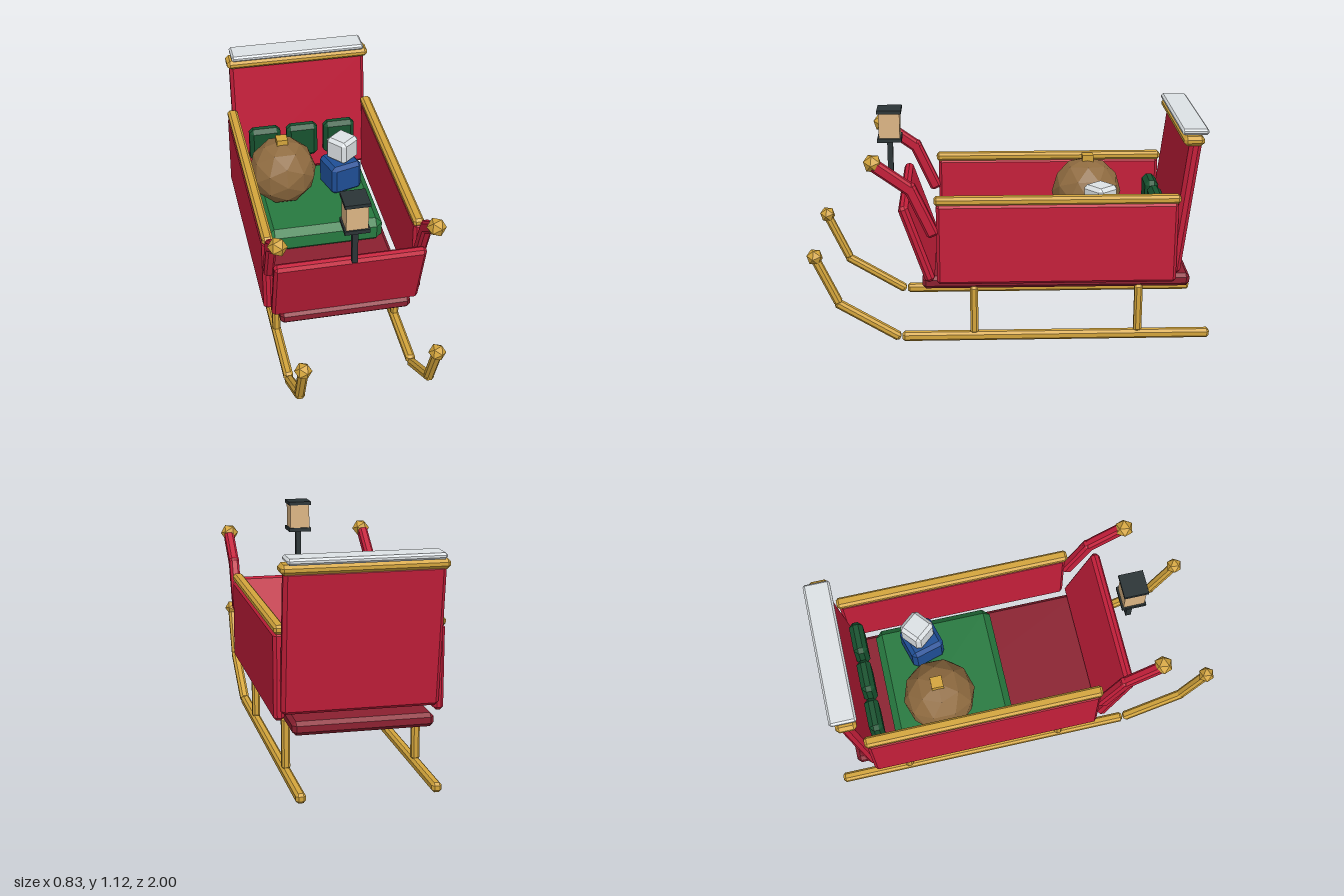
import * as THREE from 'three';
import { ConvexGeometry } from 'three/addons/geometries/ConvexGeometry.js';

const mat = (name, color) => {
  const m = new THREE.MeshStandardMaterial({ color, flatShading: true });
  m.name = name;
  return m;
};

export function createModel() {
  const group = new THREE.Group();
  group.name = 'sleigh';
  const red = mat('red paint', 0xc41e3a), darkRed = mat('dark red floor', 0x8b2030);
  const gold = mat('gold trim', 0xd4a53c), snow = mat('snow white', 0xdde2e5);
  const brown = mat('sack brown', 0x8f6b40), green = mat('blanket green', 0x277a40);
  const darkGreen = mat('cushion green', 0x17522f), blue = mat('gift blue', 0x1f4f96);
  const iron = mat('lantern iron', 0x2b3436), glow = mat('lantern glass', 0xdcb584);

  const add = (name, geometry, material, x, y, z, rx = 0, ry = 0) => {
    const mesh = new THREE.Mesh(geometry, material);
    mesh.name = name;
    mesh.position.set(x, y, z);
    mesh.rotation.set(rx, ry, 0);
    group.add(mesh);
    return mesh;
  };

  // Box with chamfered edges and corners
  const chamferBox = (w, h, d, c = 0.012) => {
    const points = [], half = [w / 2, h / 2, d / 2];
    for (const sx of [-1, 1]) for (const sy of [-1, 1]) for (const sz of [-1, 1]) {
      const signs = [sx, sy, sz];
      for (let face = 0; face < 3; face++) {
        points.push(new THREE.Vector3(...half.map((v, i) => signs[i] * (i === face ? v : v - c))));
      }
    }
    return new ConvexGeometry(points);
  };

  // Chamfered bar between two points [y, z] at a given x
  const bar = (name, material, x, [y0, z0], [y1, z1], w, t) => {
    const length = Math.hypot(y1 - y0, z1 - z0);
    add(name, chamferBox(w, length, t), material, x, (y0 + y1) / 2, (z0 + z1) / 2, Math.atan2(z1 - z0, y1 - y0));
  };

  // Body
  add('floor', chamferBox(0.66, 0.066, 1.325, 0.018), darkRed, 0, 0.317, -0.228);
  add('frontPanel', chamferBox(0.74, 0.41, 0.05, 0.015), red, 0, 0.533, 0.457, 0.33);
  add('backPanel', chamferBox(0.74, 0.68, 0.06, 0.018), red, 0, 0.705, -0.843, -0.118);
  add('backRail', chamferBox(0.77, 0.048, 0.1, 0.016), gold, 0, 1.046, -0.872);
  add('snowCap', chamferBox(0.72, 0.03, 0.13, 0.01), snow, 0, 1.086, -0.88);

  for (const s of [-1, 1]) {
    // Sides and curled arms
    add('sidePanel', chamferBox(0.05, 0.41, 1.17, 0.015), red, s * 0.375, 0.54, -0.225);
    add('sideRail', chamferBox(0.054, 0.042, 1.19), gold, s * 0.372, 0.76, -0.225);
    bar('lowerArm', red, s * 0.375, [0.585, 0.372], [0.845, 0.49], 0.05, 0.06);
    bar('upperArm', red, s * 0.375, [0.805, 0.46], [0.95, 0.66], 0.05, 0.06);
    add('armFinial', new THREE.IcosahedronGeometry(0.047, 0), gold, s * 0.37, 0.95, 0.656, 0.3, 0.4);

    // Runners, posts and curled tips
    const x = s * 0.315;
    add('runner', chamferBox(0.047, 0.046, 1.54), gold, x, 0.029, -0.23);
    bar('lowerRunnerTip', gold, x, [0.024, 0.55], [0.217, 0.865], 0.047, 0.042);
    bar('upperRunnerTip', gold, x, [0.21, 0.848], [0.46, 0.962], 0.047, 0.042);
    add('runnerFinial', new THREE.IcosahedronGeometry(0.042, 0), gold, x, 0.458, 0.958, 0.3, 0.4);
    for (const z of [0.18, -0.638]) {
      add('runnerPost', chamferBox(0.04, 0.25, 0.04, 0.01), gold, x, 0.17, z);
    }
  }

  // Lantern
  add('lanternPost', new THREE.BoxGeometry(0.028, 0.2, 0.028), iron, 0, 0.86, 0.592);
  add('lanternBase', new THREE.BoxGeometry(0.12, 0.02, 0.12), iron, 0, 0.972, 0.592);
  add('lanternGlass', new THREE.BoxGeometry(0.104, 0.126, 0.104), glow, 0, 1.045, 0.592);
  add('lanternCap', new THREE.BoxGeometry(0.12, 0.018, 0.12), iron, 0, 1.116, 0.592);

  // Cargo
  add('blanket', chamferBox(0.61, 0.14, 0.61, 0.035), green, 0, 0.405, -0.365);
  add('sack', new THREE.IcosahedronGeometry(0.18, 1), brown, -0.167, 0.627, -0.412);
  add('sackKnot', new THREE.BoxGeometry(0.058, 0.04, 0.058), gold, -0.167, 0.806, -0.416);
  add('largeGift', chamferBox(0.175, 0.17, 0.175, 0.02), blue, 0.154, 0.555, -0.44, 0, 0.28);
  add('smallGift', chamferBox(0.13, 0.13, 0.13, 0.018), snow, 0.166, 0.702, -0.453, 0, 0.7);
  for (const x of [-0.207, 0, 0.207]) {
    add('backCushion', chamferBox(0.172, 0.2, 0.07, 0.022), darkGreen, x, 0.585, -0.752);
  }
  return group;
}
